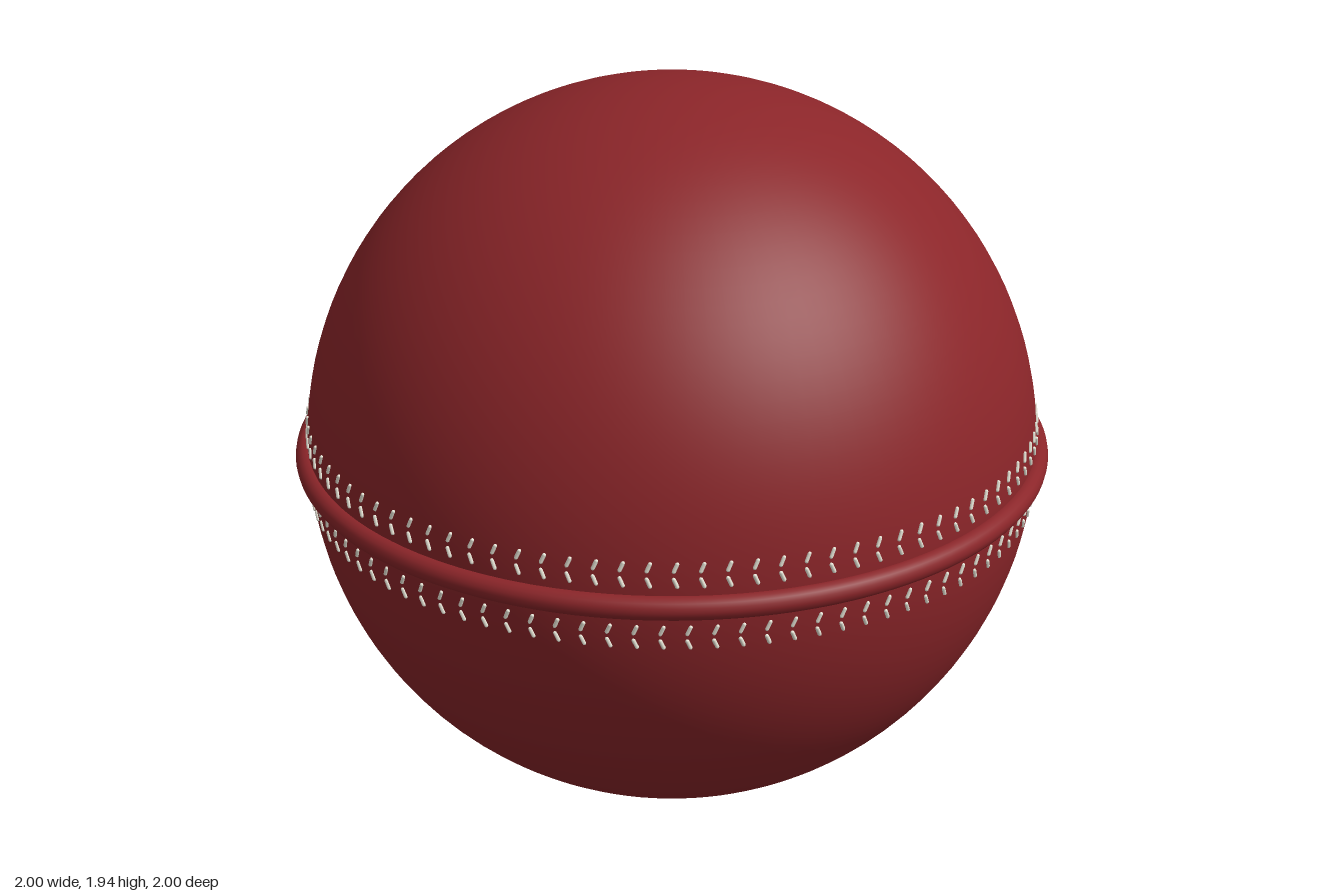
import * as THREE from 'three';
import { mergeGeometries } from 'three/addons/utils/BufferGeometryUtils.js';

const R = 0.968;          // ball radius, also the height of its centre
const COUNT = 96;         // stitches per row

const leather = new THREE.MeshStandardMaterial({ color: 0x8b2529 });
const thread = new THREE.MeshStandardMaterial({ color: 0xe8e6d8 });

function addMesh(parent, name, geometry, material) {
  const mesh = new THREE.Mesh(geometry, material);
  mesh.name = name;
  parent.add(mesh);
  return mesh;
}

// One ring of short slanted stitches lying on the ball at height y from its middle
function stitchRow(y, tilt, phase) {
  const stitches = [];
  const latitude = Math.asin(y / R);
  for (let i = 0; i < COUNT; i++) {
    const g = new THREE.CapsuleGeometry(0.005, 0.02, 3, 6);
    g.rotateZ(tilt);
    g.translate(0, 0, R + 0.001);
    g.rotateX(-latitude);
    g.rotateY(((i + phase) / COUNT) * Math.PI * 2);
    stitches.push(g);
  }
  return mergeGeometries(stitches);
}

export function createModel() {
  const model = new THREE.Group();
  model.name = 'ball';

  const body = new THREE.Group();
  body.name = 'ballBody';
  body.position.y = R;
  model.add(body);

  addMesh(body, 'leatherSphere', new THREE.SphereGeometry(R, 96, 64), leather);

  // Raised seam around the middle
  const seam = new THREE.TorusGeometry(R + 0.002, 0.03, 16, 128);
  seam.rotateX(Math.PI / 2);
  addMesh(body, 'raisedSeam', seam, leather);

  // Two rows of opposed stitches on each side of the seam
  for (const side of [1, -1]) {
    const phase = side > 0 ? 0.5 : 0;
    const label = side > 0 ? 'upper' : 'lower';
    addMesh(body, label + 'InnerStitches', stitchRow(side * 0.063, side * 0.4, phase), thread);
    addMesh(body, label + 'OuterStitches', stitchRow(side * 0.101, side * -0.4, phase), thread);
  }

  return model;
}
